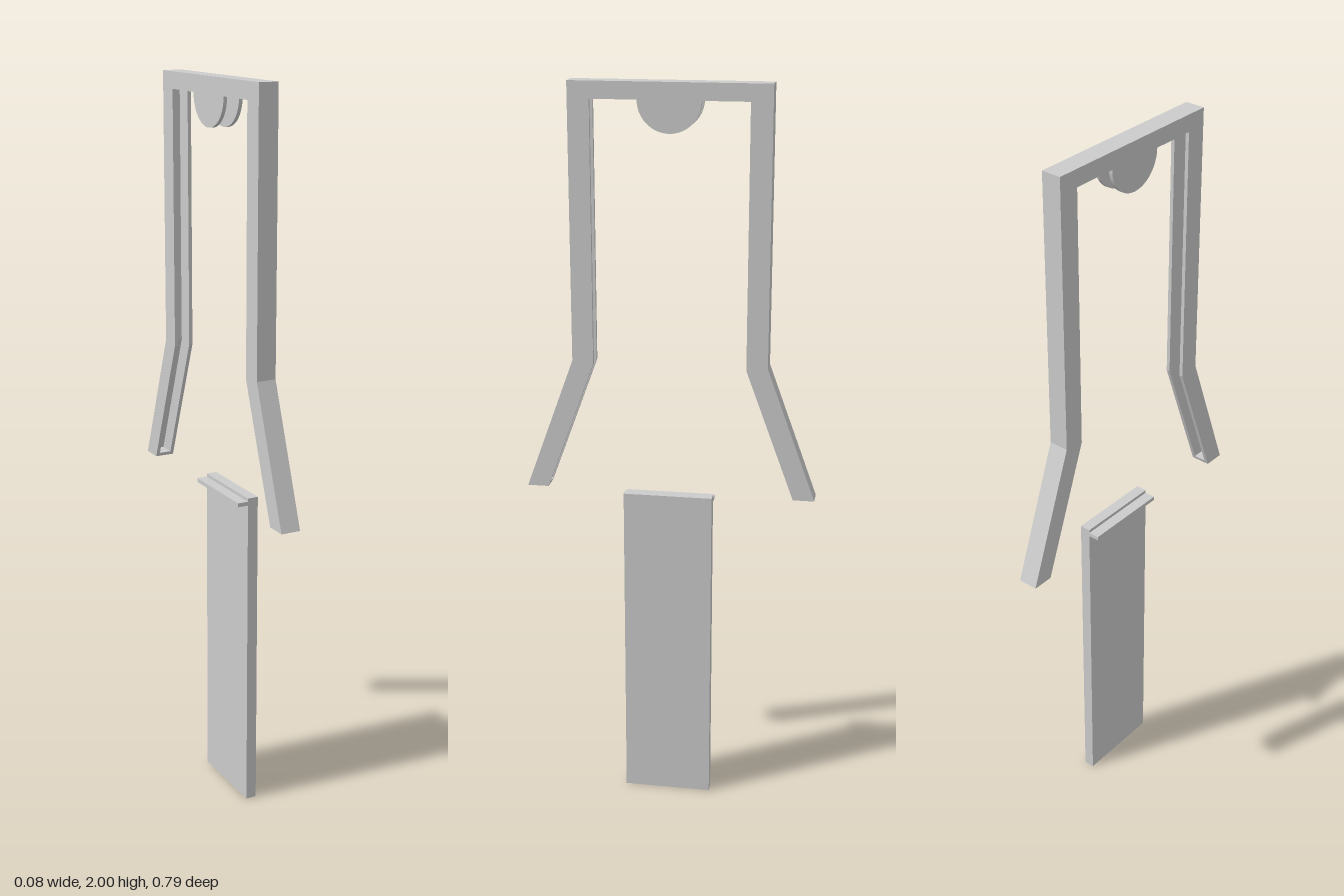
import * as THREE from 'three';

const material = new THREE.MeshStandardMaterial({ color: 0xcccccc, flatShading: true });
const WALL = 0.01;               // sheet thickness of the channel frame
const X0 = -0.042, X1 = 0.012;   // right and left sides of the frame
const FOOT = 0.903, TOP = 2;     // frame bottom and top
const BEAM = 1.955, TAB_R = 0.083;

// Half outline (z, y) of the frame on the +z side, from the foot upwards
const outer = [[0.396, FOOT], [0.263, 1.267], [0.263, TOP]];

// Closed arch between the outer outline and an inner one, mirrored to -z,
// with an optional half-disc tab hanging under the top beam
function archShape(inner, withTab) {
  const flip = ([z, y]) => [-z, y];
  const shape = new THREE.Shape();
  shape.moveTo(...outer[0]);
  outer.slice(1).forEach((p) => shape.lineTo(...p));
  [...outer].reverse().forEach((p) => shape.lineTo(...flip(p)));
  inner.forEach((p) => shape.lineTo(...flip(p)));
  if (withTab) {
    shape.lineTo(-TAB_R, BEAM);
    shape.absarc(0, BEAM, TAB_R, Math.PI, Math.PI * 2, false);
  }
  [...inner].reverse().forEach((p) => shape.lineTo(...p));
  shape.closePath();
  return shape;
}

// Extrudes a (z, y) shape along x from xMin to xMax
function slab(name, shape, xMin, xMax) {
  const geometry = new THREE.ExtrudeGeometry(shape, {
    depth: xMax - xMin, bevelEnabled: false, curveSegments: 24,
  });
  geometry.rotateY(-Math.PI / 2);
  geometry.translate(xMax, 0, 0);
  const mesh = new THREE.Mesh(geometry, material);
  mesh.name = name;
  return mesh;
}

// Box given by its x and y ranges, centred on z = 0
function box(name, xMin, xMax, yMin, yMax, depth) {
  const mesh = new THREE.Mesh(new THREE.BoxGeometry(xMax - xMin, yMax - yMin, depth), material);
  mesh.name = name;
  mesh.position.set((xMin + xMax) / 2, (yMin + yMax) / 2, 0);
  return mesh;
}

export function createModel() {
  const model = new THREE.Group();

  // Channel frame: two side plates joined by a thin outer web with closed feet
  const frame = new THREE.Group();
  frame.name = 'channelFrame';
  const plate = archShape([[0.338, FOOT], [0.206, 1.26], [0.206, BEAM]], true);
  const web = archShape([
    [0.338, FOOT], [0.334, FOOT + WALL], [0.382, FOOT + WALL],
    [0.253, 1.265], [0.253, TOP - WALL],
  ], false);
  frame.add(
    slab('leftSidePlate', plate, X1 - WALL, X1),
    slab('rightSidePlate', plate, X0, X0 + WALL),
    slab('outerWeb', web, X0 + WALL, X1 - WALL),
  );
  model.add(frame);

  // Separate flat panel with a thin lip near its top edge
  const panel = new THREE.Group();
  panel.name = 'panel';
  panel.add(
    box('panelBoard', X1, 0.042, 0, 0.905, 0.242),
    box('panelLip', -0.018, X1, 0.885, 0.896, 0.242),
  );
  model.add(panel);

  return model;
}
